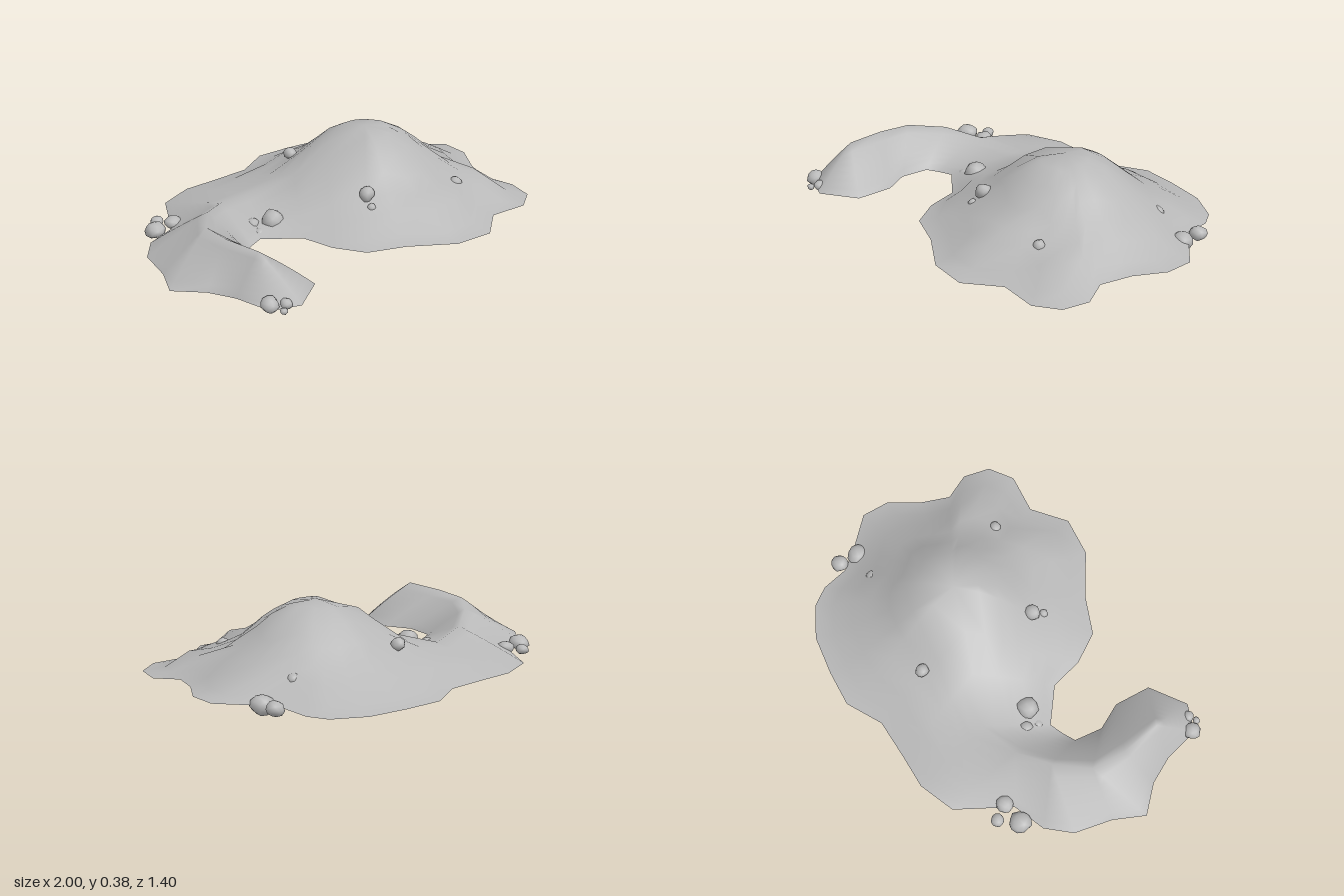
import * as THREE from 'three';
import { mergeVertices } from 'three/addons/utils/BufferGeometryUtils.js';

// Crest line from the tip of the arm to the summit: x, z, ridge height (0 = dome only)
const CREST = [
  [-0.75, 0.25, 0.18], [-0.74, 0.06, 0.172], [-0.7, -0.1, 0.165],
  [-0.56, -0.22, 0.152], [-0.4, -0.3, 0.112], [-0.2, -0.32, 0.08],
  [0, -0.2, 0.145], [0.14, -0.12, 0], [0.32, -0.03, 0],
];

// Shoreline, from the left end round the back: x, z, crest point it climbs to
const SHORE = [
  [-1, -0.03, 2], [-0.91, -0.16, 2], [-0.84, -0.33, 3], [-0.73, -0.42, 3],
  [-0.57, -0.45, 4], [-0.39, -0.67, 4], [-0.21, -0.705, 5], [-0.05, -0.675, 6],
  [0.14, -0.645, 7], [0.32, -0.705, 8], [0.49, -0.665, 8], [0.67, -0.605, 8],
  [0.8, -0.5, 8], [0.84, -0.41, 8], [0.84, -0.28, 8], [0.91, -0.16, 8],
  [1, -0.03, 8], [0.975, 0.1, 8], [0.87, 0.22, 8], [0.8, 0.35, 8],
  [0.84, 0.48, 8], [0.79, 0.6, 8], [0.67, 0.655, 8], [0.49, 0.605, 8],
  [0.32, 0.7, 8], [0.14, 0.65, 8], [-0.03, 0.49, 8], [-0.19, 0.39, 8],
  [-0.25, 0.24, 7], [-0.26, 0.08, 6], [-0.39, -0.065, 5], [-0.46, -0.05, 4],
  [-0.52, -0.03, 3], [-0.56, 0.1, 2], [-0.52, 0.23, 1], [-0.56, 0.4, 0],
  [-0.74, 0.48, 0], [-0.86, 0.41, 0], [-0.87, 0.23, 0], [-0.91, 0.1, 1],
];

// Ring positions from shore to crest
const RINGS = [0, 0.13, 0.27, 0.41, 0.55, 0.68, 0.82, 1];

// Dome profile: distance from summit, height above shore
const DOME = [
  [0, 0.342], [0.12, 0.325], [0.18, 0.297], [0.25, 0.248], [0.33, 0.172],
  [0.39, 0.124], [0.5, 0.073], [0.69, 0], [3, 0],
];

// Low shoulders at the foot of the dome: x, z, height
const SHOULDERS = [[0.3, 0.5, 0.05], [0.7, 0.44, 0.055]];

// Boulders: x, y, z, radius, height scale
const BOULDERS = [
  [-0.64, 0.045, -0.48, 0.052, 0.7], [-0.565, 0.04, -0.55, 0.031, 0.8], [-0.53, 0.045, -0.475, 0.042, 0.75],
  [-0.33, 0.055, -0.165, 0.033, 0.9], [-0.345, 0.037, -0.105, 0.026, 0.8], [-0.26, 0.065, -0.1, 0.056, 1],
  [0.165, 0.19, -0.365, 0.033, 0.9], [0.7, 0.128, -0.22, 0.031, 0.85],
  [0.88, 0.056, -0.28, 0.041, 0.85], [0.86, 0.048, -0.185, 0.052, 0.9],
  [0.038, 0.185, 0.205, 0.038, 1], [0.015, 0.138, 0.255, 0.022, 0.9], [0.495, 0.135, 0.38, 0.031, 0.9],
  [-0.85, 0.055, 0.4, 0.042, 0.85], [-0.785, 0.045, 0.435, 0.028, 0.9], [-0.825, 0.033, 0.455, 0.017, 0.9],
];

function domeHeight(x, z) {
  const d = Math.hypot(x - 0.32, z + 0.03);
  const k = DOME.findIndex(([r]) => r > d);
  const [r0, h0] = DOME[k - 1], [r1, h1] = DOME[k];
  let h = h0 + (h1 - h0) * (d - r0) / (r1 - r0);
  for (const [sx, sz, sh] of SHOULDERS) {
    h += sh * Math.exp(-((x - sx) ** 2 + (z - sz) ** 2) / 0.0225);
  }
  return h;
}

// Nested rings lofted from the shoreline up to the crest
function terrainGeometry() {
  const n = SHORE.length, pos = [], index = [];
  for (const t of RINGS) {
    for (const [sx, sz, c] of SHORE) {
      const [cx, cz, ridge] = CREST[c];
      const x = sx + (cx - sx) * t, z = sz + (cz - sz) * t;
      const lift = sx > 0.7 ? 0.024 * Math.max(0, 1 - (sz / 0.45) ** 2) * (1 - t) : 0;
      const slope = ridge * t * (1.15 - 0.15 * t);
      const dome = domeHeight(x, z) * Math.min(1, t / 0.27);
      pos.push(x, 0.033 + lift + Math.max(slope, dome), z);
    }
  }
  for (let r = 0; r < RINGS.length - 1; r++) {
    for (let i = 0; i < n; i++) {
      const j = (i + 1) % n;
      const a = r * n + i, b = r * n + j, c = a + n, d = b + n;
      index.push(a, c, b, b, c, d);
    }
  }
  const g = new THREE.BufferGeometry();
  g.setAttribute('position', new THREE.Float32BufferAttribute(pos, 3));
  g.setIndex(index);
  const welded = mergeVertices(g, 1e-4);
  welded.computeVertexNormals();
  return welded;
}

// Lumpy, smoothly shaded stone
function boulderGeometry(radius, squash, seed) {
  let g = new THREE.IcosahedronGeometry(radius, 1);
  g.deleteAttribute('uv');
  g.deleteAttribute('normal');
  g = mergeVertices(g, 1e-5);
  const p = g.attributes.position;
  for (let i = 0; i < p.count; i++) {
    const k = 0.97 + 0.09 * Math.sin(i * 12.9 + seed * 7.3);
    p.setXYZ(i, p.getX(i) * k, p.getY(i) * k * squash, p.getZ(i) * k);
  }
  g.computeVertexNormals();
  return g;
}

export function createModel() {
  const model = new THREE.Group();
  model.name = 'rockyIsland';
  const stone = new THREE.MeshStandardMaterial({ color: 0xb8b8b8, side: THREE.DoubleSide });
  stone.name = 'greyStone';

  const terrain = new THREE.Mesh(terrainGeometry(), stone);
  terrain.name = 'terrain';
  model.add(terrain);

  const boulders = new THREE.Group();
  boulders.name = 'boulders';
  BOULDERS.forEach(([x, y, z, r, squash], i) => {
    const boulder = new THREE.Mesh(boulderGeometry(r, squash, i), stone);
    boulder.name = 'boulder' + (i + 1);
    boulder.position.set(x, y, z);
    boulder.rotation.y = i * 1.7;
    boulders.add(boulder);
  });
  model.add(boulders);
  return model;
}
